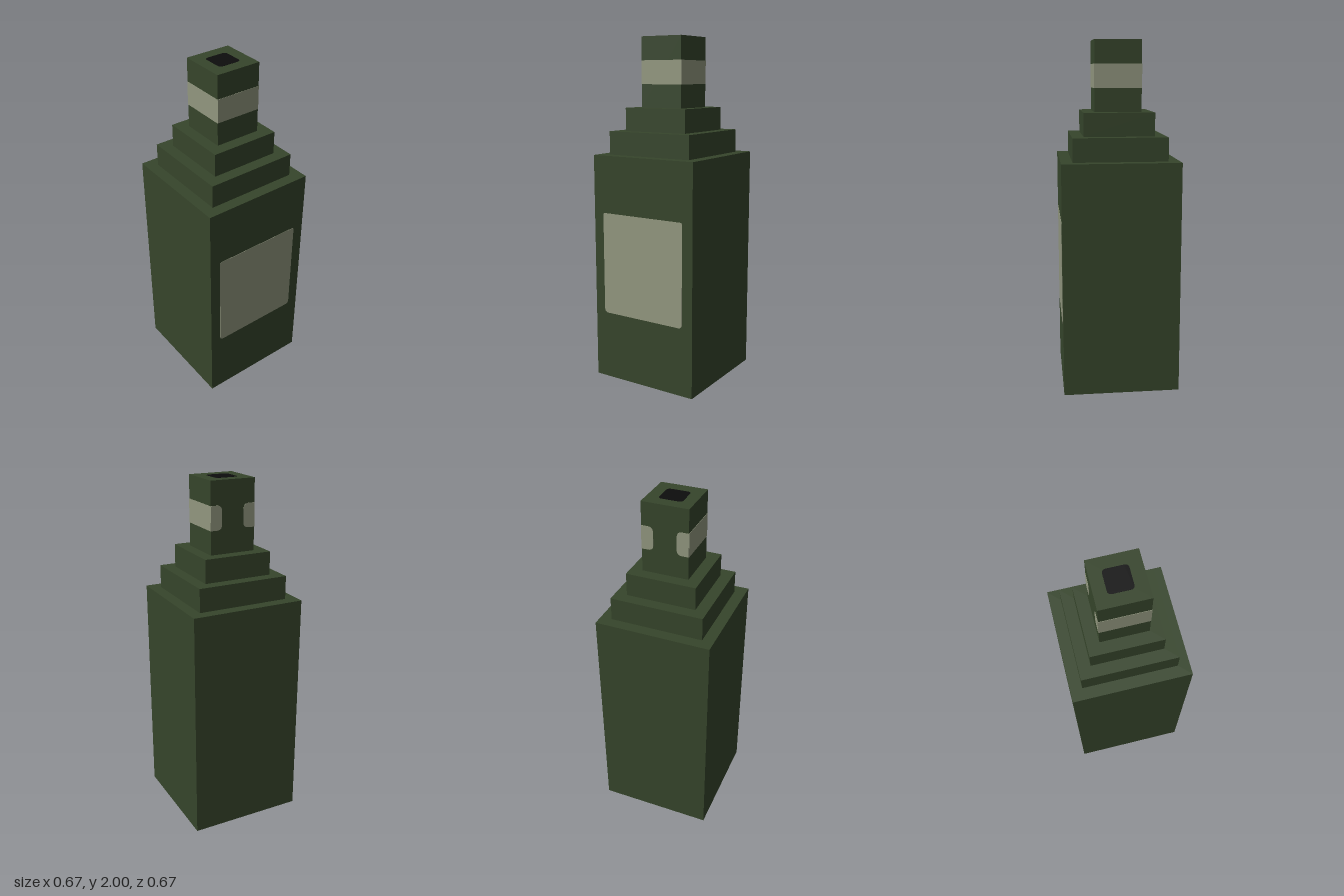
import * as THREE from 'three';

const THICK = 0.002;

// Rectangle with separate corner radii: bottom left, bottom right, top right, top left
function roundedRect(x0, y0, x1, y1, [bl, br, tr, tl]) {
  const s = new THREE.Shape();
  s.moveTo(x0 + bl, y0);
  s.lineTo(x1 - br, y0);
  if (br) s.quadraticCurveTo(x1, y0, x1, y0 + br);
  s.lineTo(x1, y1 - tr);
  if (tr) s.quadraticCurveTo(x1, y1, x1 - tr, y1);
  s.lineTo(x0 + tl, y1);
  if (tl) s.quadraticCurveTo(x0, y1, x0, y1 - tl);
  s.lineTo(x0, y0 + bl);
  if (bl) s.quadraticCurveTo(x0, y0, x0 + bl, y0);
  return s;
}

export function createModel() {
  const group = new THREE.Group();
  group.name = 'bottle';

  const glass = new THREE.MeshStandardMaterial({ color: 0x36452b });
  glass.name = 'dark green glass';
  const paper = new THREE.MeshStandardMaterial({ color: 0x92977f });
  paper.name = 'pale label paper';
  const black = new THREE.MeshStandardMaterial({ color: 0x0d0d0d });
  black.name = 'black opening';

  const add = (name, geometry, material) => {
    const mesh = new THREE.Mesh(geometry, material);
    mesh.name = name;
    group.add(mesh);
    return mesh;
  };

  // Thin painted plate standing on a face at the given distance, turned about y
  const plate = (name, shape, material, distance, turn = 0) => {
    const g = new THREE.ExtrudeGeometry(shape, { depth: THICK, bevelEnabled: false, curveSegments: 5 });
    g.translate(0, 0, distance).rotateY(turn);
    return add(name, g, material);
  };

  // Stacked square tiers: half width, bottom, top
  const tiers = [
    ['body', 0.333, 0, 1.333],
    ['lowerShoulder', 0.267, 1.333, 1.467],
    ['upperShoulder', 0.2, 1.467, 1.6],
    ['neck', 0.133, 1.6, 2],
  ];
  for (const [name, half, y0, y1] of tiers) {
    const g = new THREE.BoxGeometry(half * 2, y1 - y0, half * 2);
    add(name, g.translate(0, (y0 + y1) / 2, 0), glass);
  }

  // Front label
  plate('frontLabel', roundedRect(-0.27, 0.4, 0.267, 1, [0.025, 0.025, 0.013, 0.013]), paper, 0.333);

  // Neck band: full on the front and sides, open at the middle of the back
  const n = 0.133, y0 = 1.733, y1 = 1.867, inner = 0.066, r = 0.03;
  for (const [name, turn] of [['Front', 0], ['Left', Math.PI / 2], ['Right', -Math.PI / 2]]) {
    plate('neckBand' + name, roundedRect(-n, y0, n, y1, [0, 0, 0, 0]), paper, n, turn);
  }
  plate('neckBandBackLeft', roundedRect(-n, y0, -inner, y1, [0, r, r, 0]), paper, n, Math.PI);
  plate('neckBandBackRight', roundedRect(inner, y0, n, y1, [r, 0, 0, r]), paper, n, Math.PI);

  // Mouth opening on the top of the neck
  const mouth = new THREE.ExtrudeGeometry(
    roundedRect(-0.067, -0.065, 0.066, 0.067, [0.022, 0.022, 0.022, 0.022]),
    { depth: THICK, bevelEnabled: false, curveSegments: 5 });
  add('mouth', mouth.rotateX(-Math.PI / 2).translate(0, 2 - THICK / 2, 0), black);

  return group;
}
